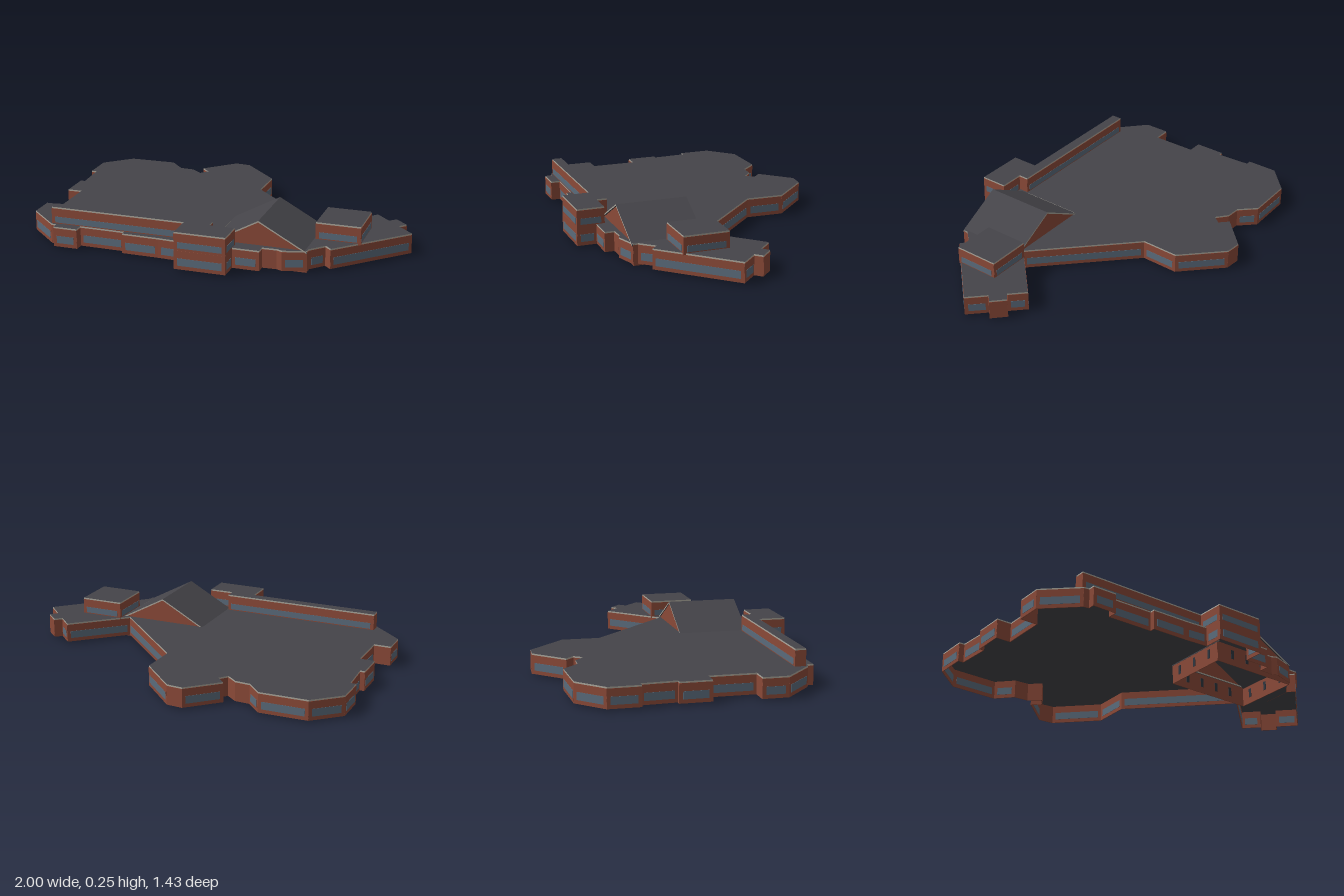
import * as THREE from 'three';

const mat = (name, color) => new THREE.MeshStandardMaterial({ name, color });

export function createModel() {
  const brick = mat('brick', 0x8a4938);
  const glass = mat('window glass', 0x5a6b7b);
  const slate = mat('roof slate', 0x454449);
  const trim = mat('pale trim', 0xaaa69b);
  const darkGlass = mat('dark glass', 0x2e3640);
  const model = new THREE.Group();
  model.name = 'building';

  const add = (parent, name, geometry, material) => {
    const mesh = new THREE.Mesh(geometry, material);
    mesh.name = name;
    parent.add(mesh);
    return mesh;
  };
  const toShape = pts => new THREE.Shape(pts.map(p => new THREE.Vector2(p[0], p[1])));

  // One wall panel per outline edge, with a window band on the longer ones
  function storey(name, outline, y0, y1, band0, band1, hole) {
    const group = new THREE.Group();
    group.name = name;
    model.add(group);
    outline.forEach(([x0, z0], i) => {
      const [x1, z1] = outline[(i + 1) % outline.length];
      const len = Math.hypot(x1 - x0, z1 - z0);
      const wall = new THREE.Group();
      wall.name = 'wall';
      wall.position.set((x0 + x1) / 2, 0, (z0 + z1) / 2);
      wall.rotation.y = -Math.atan2(z1 - z0, x1 - x0);
      group.add(wall);
      const top = y1 - 0.008;
      add(wall, 'brickPanel', new THREE.BoxGeometry(len + 0.002, top - y0, 0.004), brick)
        .position.y = (top + y0) / 2;
      if (len > 0.1) {
        add(wall, 'windowBand', new THREE.BoxGeometry(len - 0.035, band1 - band0, 0.007), glass)
          .position.y = (band0 + band1) / 2;
      }
    });
    // Flat roof plate with a pale edge
    const shape = toShape(outline);
    if (hole) shape.holes.push(new THREE.Path(hole.map(p => new THREE.Vector2(p[0], p[1]))));
    const roof = new THREE.ExtrudeGeometry(shape, { depth: 0.008, bevelEnabled: false });
    roof.rotateX(Math.PI / 2).translate(0, y1, 0);
    add(group, 'flatRoof', roof, [slate, trim]);
  }

  // Ground floor footprint as x, z corners
  const footprint = [
    [-1, -0.48], [-0.86, -0.61], [-0.6, -0.615], [-0.52, -0.53], [-0.44, -0.525], [-0.38, -0.475],
    [-0.345, -0.52], [-0.39, -0.565], [-0.235, -0.717], [-0.15, -0.71], [0.05, -0.51], [0.045, -0.305],
    [0.505, 0.15], [0.77, -0.105], [0.845, -0.03], [0.88, -0.062], [0.945, 0], [0.91, 0.035],
    [0.997, 0.122], [0.655, 0.465], [0.62, 0.43], [0.55, 0.505], [0.55, 0.53], [0.43, 0.565],
    [0.4, 0.552], [0.323, 0.555], [0.323, 0.605], [0.18, 0.605], [0.18, 0.71], [-0.09, 0.71],
    [-0.09, 0.605], [-0.22, 0.597], [-0.42, 0.595], [-0.42, 0.568], [-0.67, 0.565], [-0.67, 0.615],
    [-0.8, 0.615], [-0.8, 0.58], [-0.83, 0.575], [-0.998, 0.42], [-0.998, 0.285], [-0.905, 0.285],
    [-0.905, 0.04], [-0.985, 0.04], [-0.985, -0.125], [-0.96, -0.125], [-0.97, -0.312], [-1, -0.312],
  ];
  storey('groundFloor', footprint, 0.01, 0.118, 0.03, 0.07,
    [[0.052, 0.165], [0.54, 0.165], [0.54, 0.5], [0.052, 0.5]]);

  // Upper floors
  storey('frontUpperFloor', [
    [-0.83, 0.508], [0.045, 0.508], [0.045, 0.563], [0.18, 0.563],
    [0.18, 0.709], [-0.09, 0.709], [-0.09, 0.563], [-0.83, 0.563],
  ], 0.11, 0.208, 0.123, 0.156);
  storey('wingUpperFloor', [[0.547, 0.11], [0.78, 0.11], [0.78, 0.35], [0.547, 0.35]],
    0.11, 0.208, 0.123, 0.156);

  // Gabled hall
  const hall = new THREE.Group();
  hall.name = 'hall';
  model.add(hall);
  const xa = 0.047, xb = 0.547, xm = 0.297, eave = 0.112, ridge = 0.25, t = 0.008;
  for (const z of [0.157, 0.525]) {
    const gable = new THREE.ExtrudeGeometry(
      toShape([[xa, 0], [xb, 0], [xb, eave - t], [xm, ridge - t], [xa, eave - t]]),
      { depth: 0.004, bevelEnabled: false });
    add(hall, 'gableWall', gable, brick).position.z = z;
    for (const dx of [-0.15, -0.05, 0.05, 0.15]) {
      add(hall, 'hallWindow', new THREE.BoxGeometry(0.018, 0.05, 0.008), darkGlass)
        .position.set(xm + dx, 0.06, z + 0.002);
    }
  }
  for (const x of [xa, xb]) {
    add(hall, 'sideWall', new THREE.BoxGeometry(0.004, eave - t, 0.37), brick)
      .position.set(x, (eave - t) / 2, 0.343);
    for (const z of [0.22, 0.34, 0.46]) {
      add(hall, 'hallWindow', new THREE.BoxGeometry(0.008, 0.05, 0.018), darkGlass)
        .position.set(x, 0.06, z);
    }
  }
  // Pitched roof with pale verges
  const pitched = new THREE.ExtrudeGeometry(
    toShape([[xa - 0.003, eave - t], [xm, ridge - t], [xb + 0.003, eave - t],
      [xb + 0.003, eave], [xm, ridge], [xa - 0.003, eave]]),
    { depth: 0.385, bevelEnabled: false });
  add(hall, 'pitchedRoof', pitched, [trim, slate]).position.z = 0.152;

  return model;
}
